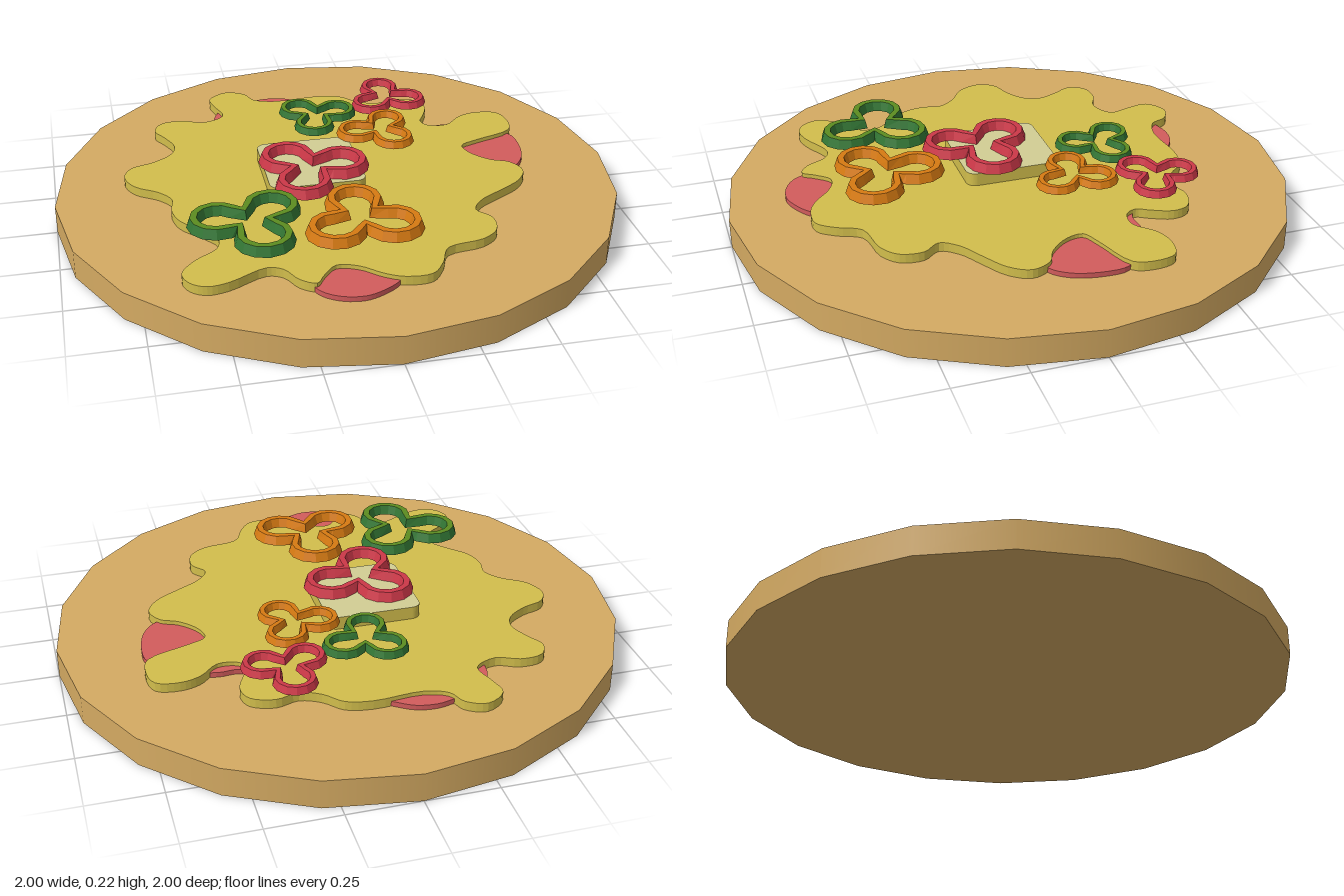
import * as THREE from 'three';

const material = (name, color) => {
  const m = new THREE.MeshStandardMaterial({ color });
  m.name = name;
  return m;
};

const colors = {
  crust: material('crust', 0xd4aa62),
  sauce: material('tomato sauce', 0xd25c5c),
  cheese: material('melted cheese', 0xd2be4c),
  pale: material('pale cheese', 0xd2ce94),
  red: material('red pepper', 0xcc3848),
  orange: material('orange pepper', 0xd67a12),
  green: material('green pepper flesh', 0x5c8c20),
  greenSkin: material('green pepper skin', 0x327534),
};

// Outlines as x, z pairs in hundredths of a unit
const sauceOutline = [
  -20, -67, -15, -68, -8, -67, 0, -62, 15, -52, 30, -38, 42, -31, 50, -31, 60, -27, 71, -18,
  72, -10, 70, 0, 66, 6, 61, 9, 50, 20, 35, 40, 15, 60, 5, 73, -1, 77, -7, 79, -14, 78,
  -20, 74, -24, 66, -35, 45, -45, 20, -48, 0, -44, -25, -38, -47, -37, -55, -32, -63,
];
const cheeseOutline = [
  -30, -74, -23, -71, -20, -65, -12, -62, 5, -63, 14, -61, 20, -55, 27, -52, 35, -54, 43, -51,
  45, -45, 42, -37, 40, -33, 42, -29, 49, -28, 56, -34, 63, -36, 71, -34, 73, -26, 71, -19,
  56, -13, 50, -10, 51, -4, 57, 3, 63, 6, 66, 13, 62, 20, 53, 26, 45, 31, 41, 37,
  45, 43, 44, 51, 38, 56, 25, 59, 21, 67, 16, 73, 7, 73, 1, 70, -6, 64, -13, 62,
  -18, 67, -21, 71, -26, 68, -30, 61, -35, 59, -48, 65, -55, 66, -60, 63, -62, 57, -57, 50,
  -49, 44, -48, 38, -52, 32, -59, 24, -61, 16, -60, 9, -64, 3, -72, -3, -75, -11, -72, -17,
  -64, -20, -57, -25, -55, -31, -58, -39, -61, -45, -58, -51, -50, -52, -42, -49, -34, -53, -36, -62,
  -37, -69,
];

// Flat slab lying on the plane y = bottom
function slab(name, shape, bottom, height, mat) {
  const geometry = new THREE.ExtrudeGeometry(shape, { depth: height, bevelEnabled: false, curveSegments: 6 });
  geometry.rotateX(-Math.PI / 2);
  const mesh = new THREE.Mesh(geometry, mat);
  mesh.name = name;
  mesh.position.y = bottom;
  return mesh;
}

// Smooth closed blob through an outline
function blob(outline) {
  const points = [];
  for (let i = 0; i < outline.length; i += 2) {
    points.push(new THREE.Vector3(outline[i] / 100, -outline[i + 1] / 100, 0));
  }
  const curve = new THREE.CatmullRomCurve3(points, true);
  return new THREE.Shape(curve.getPoints(points.length * 4).slice(0, -1).map((p) => new THREE.Vector2(p.x, p.y)));
}

function roundedSquare(cx, cy, half, r) {
  const s = new THREE.Shape();
  const corners = [[1, 1, 0], [-1, 1, 1], [-1, -1, 2], [1, -1, 3]];
  for (const [sx, sy, q] of corners) {
    s.absarc(cx + sx * (half - r), cy + sy * (half - r), r, q * Math.PI / 2, (q + 1) * Math.PI / 2, false);
  }
  return s;
}

// Three-lobed loop: an arc per lobe, with a cusp between lobes
function trefoil(radius, cusp, y) {
  const points = [], dist = 0.112, steps = 9, sweep = THREE.MathUtils.degToRad(125);
  for (let lobe = 0; lobe < 3; lobe++) {
    const a = lobe * Math.PI * 2 / 3;
    for (let i = 0; i <= steps; i++) {
      const t = a - sweep + 2 * sweep * i / steps;
      points.push([dist * Math.cos(a) + radius * Math.cos(t), y, dist * Math.sin(a) + radius * Math.sin(t)]);
    }
    points.push([cusp * Math.cos(a + Math.PI / 3), y, cusp * Math.sin(a + Math.PI / 3)]);
  }
  return points;
}

// Pepper slice: outer wall, top, inner wall and underside lofted between loops
function pepperGeometry() {
  const loops = [
    trefoil(0.102, 0.086, 0), trefoil(0.09, 0.072, 0.034),
    trefoil(0.067, 0.045, 0.034), trefoil(0.056, 0.035, 0),
  ];
  const geometry = new THREE.BufferGeometry();
  const positions = [];
  loops.forEach((a, k) => {
    const b = loops[(k + 1) % loops.length];
    geometry.addGroup(positions.length / 3, a.length * 6, k === 1 ? 0 : 1);
    a.forEach((p, i) => {
      const j = (i + 1) % a.length;
      positions.push(...p, ...b[i], ...a[j], ...a[j], ...b[i], ...b[j]);
    });
  });
  geometry.setAttribute('position', new THREE.Float32BufferAttribute(positions, 3));
  geometry.computeVertexNormals();
  return geometry;
}

export function createModel() {
  const model = new THREE.Group();
  model.name = 'pizza';

  // Faceted crust disc
  const crust = new THREE.Mesh(new THREE.CylinderGeometry(1, 1, 0.102, 20), colors.crust);
  crust.name = 'crust';
  crust.position.y = 0.051;
  model.add(crust);

  // Sauce, melted cheese and the cheese square on top
  model.add(slab('sauce', blob(sauceOutline), 0.1, 0.02, colors.sauce));
  model.add(slab('cheese', blob(cheeseOutline), 0.1, 0.035, colors.cheese));
  model.add(slab('cheeseSquare', roundedSquare(-0.095, 0, 0.17, 0.035), 0.13, 0.052, [colors.pale, colors.cheese]));

  // Pepper slices: name, top, wall, x, z, angle of one lobe, scale
  const geometry = pepperGeometry();
  const slices = [
    ['largeRedPepper', colors.red, colors.red, -0.107, 0.07, -8, 1],
    ['largeOrangePepper', colors.orange, colors.orange, -0.01, 0.45, -90, 1],
    ['largeGreenPepper', colors.green, colors.greenSkin, -0.37, 0.4, -45, 1],
    ['smallGreenPepper', colors.green, colors.greenSkin, -0.005, -0.347, -14, 0.74],
    ['smallRedPepper', colors.red, colors.red, 0.289, -0.45, -94, 0.74],
    ['smallOrangePepper', colors.orange, colors.orange, 0.198, -0.177, 182, 0.74],
  ];
  for (const [name, top, wall, x, z, angle, scale] of slices) {
    const slice = new THREE.Mesh(geometry, [top, wall]);
    slice.name = name;
    slice.position.set(x, 0.183, z);
    slice.rotation.y = -THREE.MathUtils.degToRad(angle);
    slice.scale.setScalar(scale);
    model.add(slice);
  }
  return model;
}
